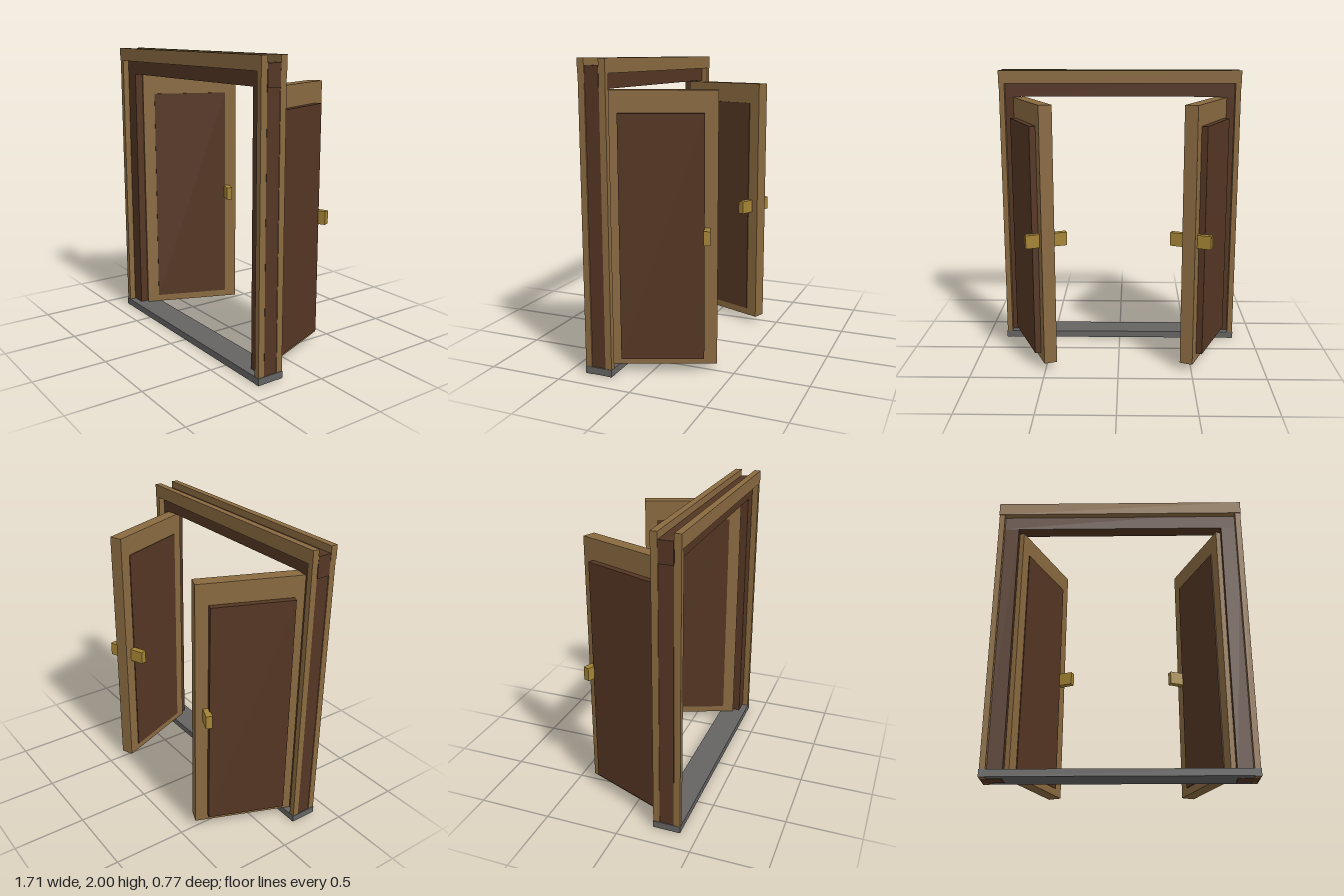
import * as THREE from 'three';

const mat = (name, color) => {
  const m = new THREE.MeshStandardMaterial({ color });
  m.name = name;
  return m;
};

export function createModel() {
  const wood = mat('lightWood', 0x8a6a40);
  const darkWood = mat('darkWood', 0x543623);
  const brass = mat('brass', 0xa48435);
  const stone = mat('greyStone', 0x656463);

  // Box given by its minimum and maximum on each axis
  const box = (parent, name, material, [x0, x1], [y0, y1], [z0, z1]) => {
    const mesh = new THREE.Mesh(new THREE.BoxGeometry(x1 - x0, y1 - y0, z1 - z0), material);
    mesh.position.set((x0 + x1) / 2, (y0 + y1) / 2, (z0 + z1) / 2);
    mesh.name = name;
    parent.add(mesh);
  };
  const mirrored = (side, a, b) => (side > 0 ? [a, b] : [-b, -a]);

  const model = new THREE.Group();
  model.name = 'doubleDoor';

  const front = [0.341, 0.386];
  const core = [0.244, 0.338];
  const back = [0.198, 0.243];
  const full = [-0.856, 0.856];

  // Frame: sill, lintel and the two trims that sandwich it
  const frame = new THREE.Group();
  frame.name = 'frame';
  model.add(frame);
  box(frame, 'sill', stone, full, [0.003, 0.05], [0.198, 0.386]);
  box(frame, 'lintel', darkWood, full, [1.815, 1.955], core);
  box(frame, 'frontTopTrim', wood, full, [1.91, 2], front);
  box(frame, 'backTopTrim', wood, full, [1.91, 2], back);

  for (const side of [1, -1]) {
    const label = side > 0 ? 'left' : 'right';

    // Jamb with its slim trims
    box(frame, label + 'Jamb', darkWood, mirrored(side, 0.717, 0.85), [0, 1.815], core);
    box(frame, label + 'FrontTrim', wood, mirrored(side, 0.815, 0.853), [0, 1.91], [0.341, 0.384]);
    box(frame, label + 'BackTrim', wood, mirrored(side, 0.815, 0.853), [0, 1.91], [0.2, 0.243]);

    // Door leaf swung open to the back
    const door = new THREE.Group();
    door.name = label + 'Door';
    door.rotation.y = side * THREE.MathUtils.degToRad(22);
    model.add(door);
    box(door, 'leaf', wood, mirrored(side, 0.524, 0.613), [0.05, 1.81], [-0.169, 0.53]);
    box(door, 'panel', darkWood, mirrored(side, 0.518, 0.655), [0.1, 1.67], [-0.085, 0.447]);
    box(door, 'handle', brass, mirrored(side, 0.422, 0.707), [0.863, 0.954], [-0.12, -0.077]);
  }
  return model;
}
